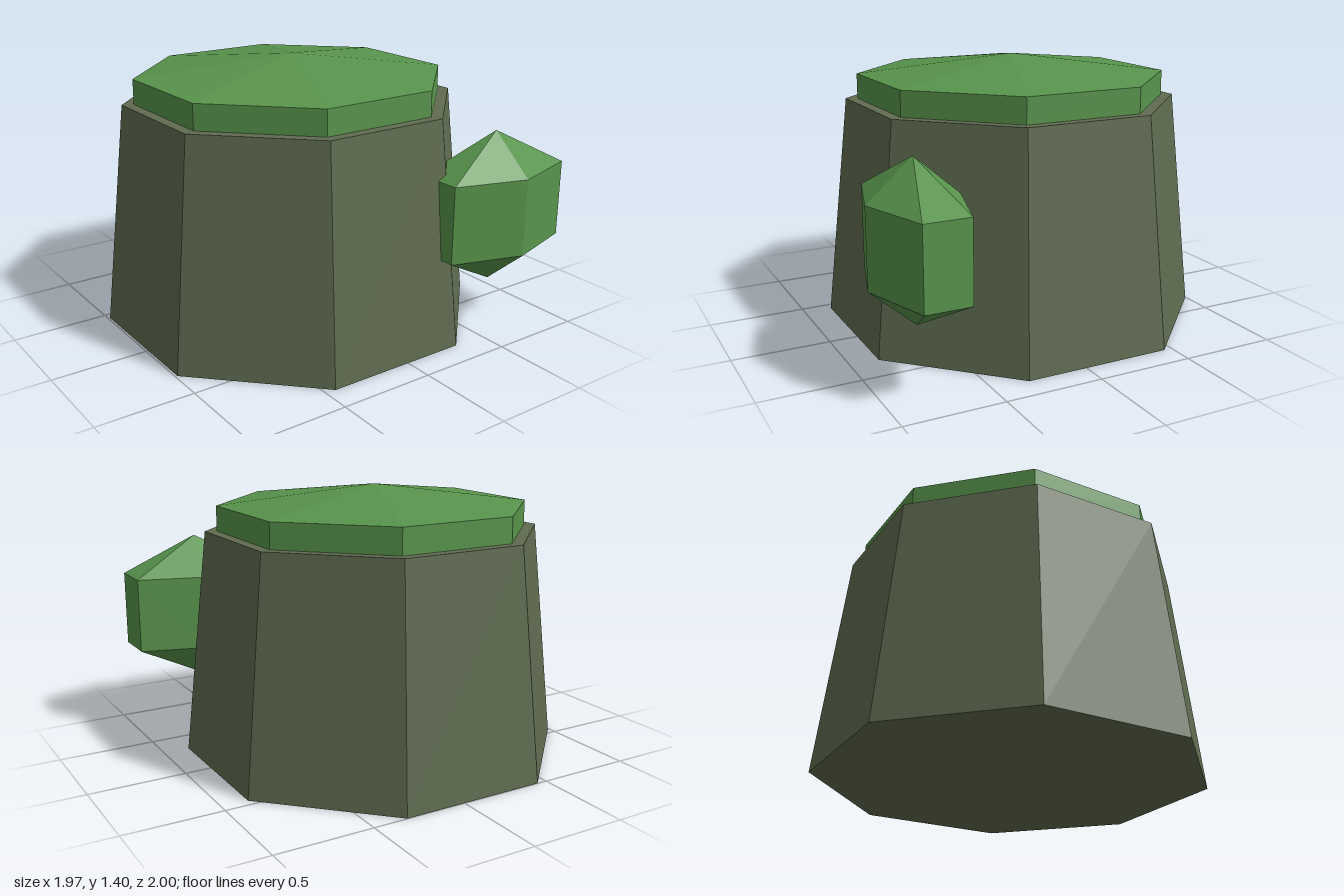
import * as THREE from 'three';

const flat = (geometry) => {
  const g = geometry.toNonIndexed();
  g.computeVertexNormals();
  return g;
};

export function createModel() {
  const bark = new THREE.MeshStandardMaterial({ color: 0x5f6b50 });
  bark.name = 'mossy bark';
  const leaf = new THREE.MeshStandardMaterial({ color: 0x58944c });
  leaf.name = 'leaf green';

  const model = new THREE.Group();
  model.name = 'mossyStump';
  const add = (name, geometry, material, parent) => {
    const mesh = new THREE.Mesh(flat(geometry), material);
    mesh.name = name;
    parent.add(mesh);
    return mesh;
  };

  // Octagonal trunk and moss share one axis, with flat sides facing front
  const stump = new THREE.Group();
  stump.name = 'stump';
  stump.position.set(-0.062, 0, -0.072);
  stump.rotation.y = Math.PI / 8;
  model.add(stump);

  // Tapered trunk
  add('trunk', new THREE.CylinderGeometry(0.873, 1.003, 1.175, 8), bark, stump)
    .position.y = 0.5875;

  // Moss slab with a shallow pointed top
  add('mossRim', new THREE.CylinderGeometry(0.812, 0.812, 0.13, 8, 1, true), leaf, stump)
    .position.y = 1.24;
  add('mossTop', new THREE.ConeGeometry(0.812, 0.1, 8, 1, true), leaf, stump)
    .position.y = 1.355;

  // Six-sided leaf clump on the front left corner, flattened front to back
  const clump = new THREE.SphereGeometry(1, 6, 3);
  clump.rotateY(Math.PI / 2);
  clump.scale(0.5, 0.4, 0.266);
  add('leafClump', clump, leaf, model).position.set(0.61, 0.673, 0.766);

  return model;
}
